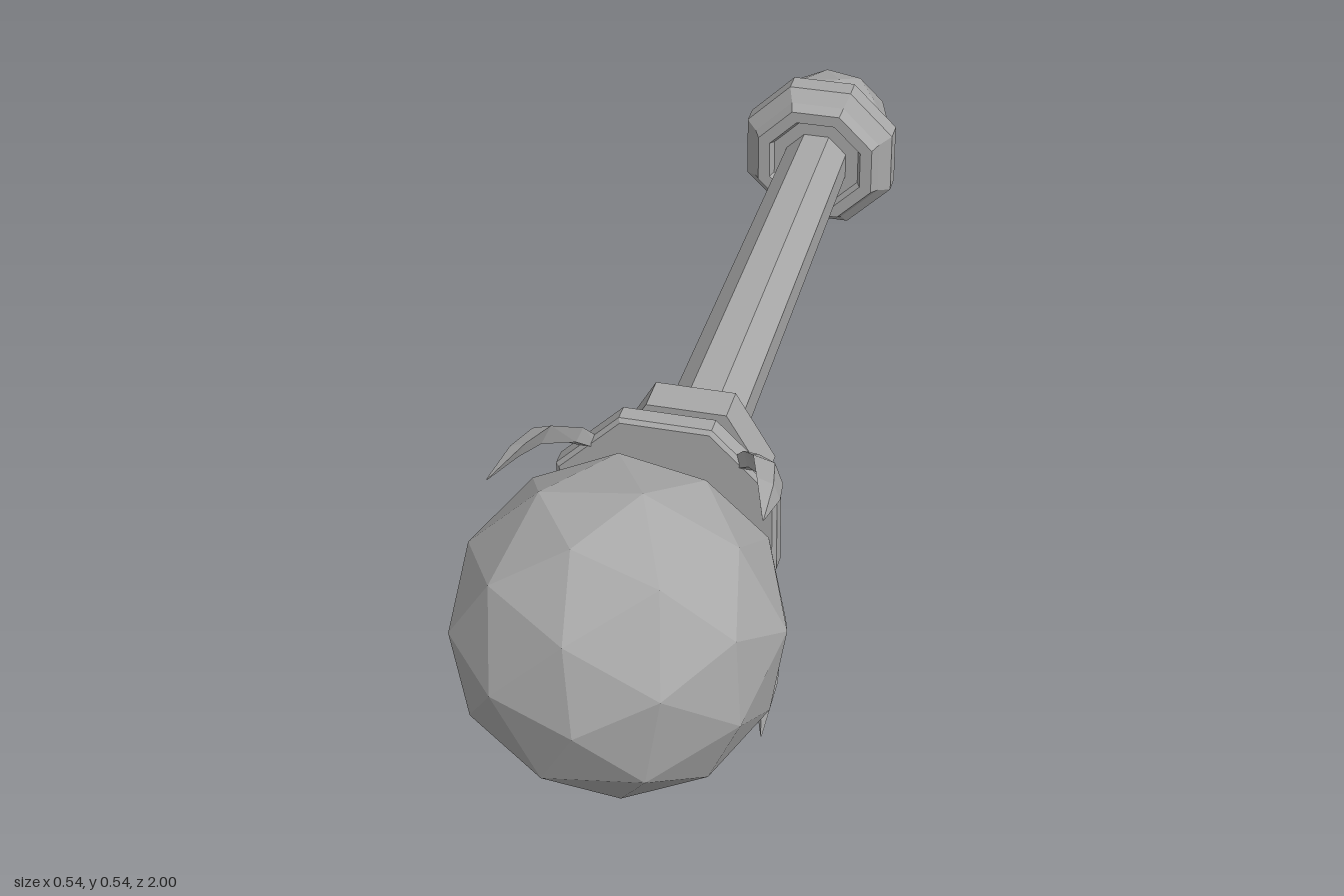
import * as THREE from 'three';

const metal = new THREE.MeshStandardMaterial({ color: 0xa8a8a8 });
metal.name = 'greyMetal';
metal.flatShading = true;
const AXIS_Y = 0.272;

export function createModel() {
  const root = new THREE.Group();
  root.name = 'scepter';

  const add = (name, geometry, z = 0) => {
    const mesh = new THREE.Mesh(geometry, metal);
    mesh.name = name;
    mesh.position.set(0, AXIS_Y, z);
    root.add(mesh);
    return mesh;
  };

  // Faceted part along z; profile is [half width across flats, z], back to front on the outside
  const turned = (name, sides, phi, profile) => {
    const k = 1 / Math.cos(Math.PI / sides);
    const pts = profile.map(([r, z]) => new THREE.Vector2(r * k, z));
    const geo = new THREE.LatheGeometry(pts, sides, phi).toNonIndexed();
    geo.rotateX(Math.PI / 2);
    geo.computeVertexNormals();
    return add(name, geo);
  };

  // Faceted ball with a corner pointing along +z and -z
  const ball = (name, radius, z, turn) => {
    const v = [0, 0, 1];
    const idx = [];
    const h = Math.sqrt(0.2), r = 2 * h;
    for (const [offset, height] of [[0, h], [Math.PI / 5, -h]]) {
      for (let i = 0; i < 5; i++) {
        const a = turn + offset + (i * Math.PI * 2) / 5;
        v.push(r * Math.cos(a), r * Math.sin(a), height);
      }
    }
    v.push(0, 0, -1);
    for (let i = 0; i < 5; i++) {
      const a = 1 + i, b = 1 + (i + 1) % 5, c = 6 + i, d = 6 + (i + 1) % 5;
      idx.push(0, a, b, a, c, b, b, c, d, 11, d, c);
    }
    return add(name, new THREE.PolyhedronGeometry(v, idx, radius, 1), z);
  };

  // Curved claw: diamond cross-sections [distance from axis, z, half width, half thickness]
  const clawGeometry = () => {
    const rings = [
      [0.165, 0.415, 0.014, 0.010],
      [0.215, 0.445, 0.024, 0.014],
      [0.272, 0.515, 0.035, 0.015],
      [0.295, 0.585, 0.027, 0.011],
      [0.315, 0.685, 0.001, 0.001],
    ];
    const pos = [], idx = [];
    rings.forEach(([r, z, w, t], i) => {
      const p = rings[Math.max(i - 1, 0)], n = rings[Math.min(i + 1, rings.length - 1)];
      const len = Math.hypot(n[0] - p[0], n[1] - p[1]);
      const nr = (n[1] - p[1]) / len, nz = -(n[0] - p[0]) / len;
      pos.push(r + nr * t, 0, z + nz * t, r, w, z, r - nr * t, 0, z - nz * t, r, -w, z);
    });
    for (let i = 0; i < rings.length - 1; i++) {
      for (let j = 0; j < 4; j++) {
        const a = i * 4 + j, b = i * 4 + (j + 1) % 4;
        idx.push(a, b, b + 4, a, b + 4, a + 4);
      }
    }
    idx.push(0, 2, 1, 0, 3, 2);
    const geo = new THREE.BufferGeometry();
    geo.setAttribute('position', new THREE.Float32BufferAttribute(pos, 3));
    geo.setIndex(idx);
    const flat = geo.toNonIndexed();
    flat.computeVertexNormals();
    return flat;
  };

  const OCT = Math.PI / 8;
  ball('headOrb', 0.2755, 0.7245, THREE.MathUtils.degToRad(27));
  ball('pommelOrb', 0.13, -0.87, THREE.MathUtils.degToRad(27));

  // Slightly tapered octagonal handle
  turned('handle', 8, OCT, [[0, -0.78], [0.06, -0.78], [0.068, 0.39], [0, 0.39]]);

  // Flared collar holding the pommel
  turned('pommelCollar', 8, OCT, [
    [0, -0.825], [0.14, -0.832], [0.147, -0.825], [0.147, -0.785],
    [0.125, -0.762], [0.115, -0.742], [0.092, -0.742], [0.085, -0.755], [0, -0.755],
  ]);

  // Loose hexagonal ring round the handle
  turned('handleRing', 6, Math.PI / 6, [
    [0.092, 0.225], [0.121, 0.225], [0.121, 0.293], [0.092, 0.293], [0.092, 0.225],
  ]);

  // Stepped plate that carries the claws
  turned('plateStep', 8, OCT, [
    [0, 0.365], [0.08, 0.365], [0.092, 0.374], [0.092, 0.4], [0, 0.4],
  ]);
  turned('clawPlate', 8, OCT, [
    [0, 0.393], [0.18, 0.393], [0.189, 0.4], [0.189, 0.43], [0.182, 0.436], [0, 0.436],
  ]);

  // Four claws on the diagonals
  const claw = clawGeometry();
  for (let i = 0; i < 4; i++) {
    add('claw' + (i + 1), claw).rotation.z = Math.PI / 4 + (i * Math.PI) / 2;
  }

  return root;
}
